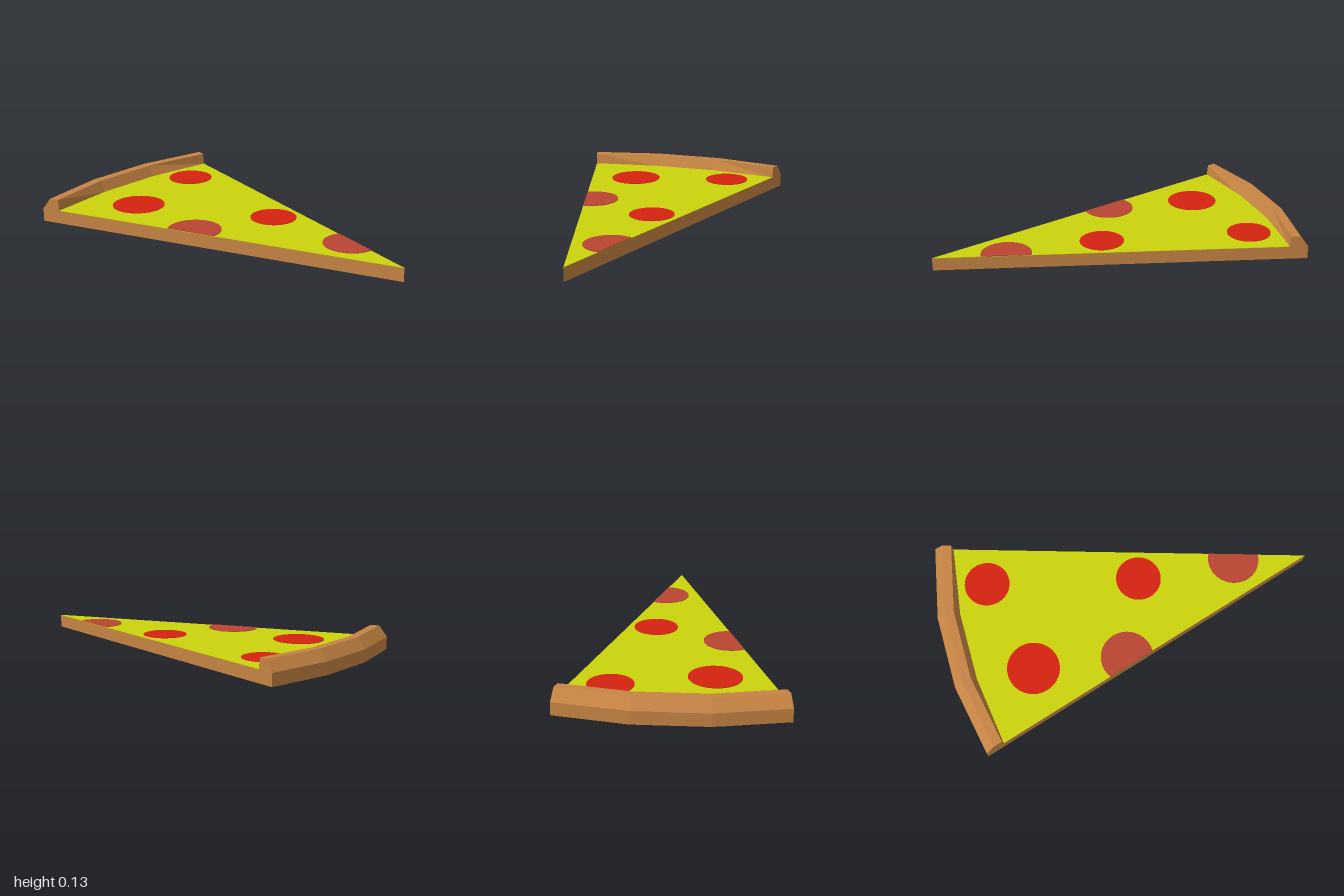
import * as THREE from 'three';

const TIP = { x: 1, z: 0.555 };
const ANGLE = Math.atan2(1.11, 1.665); // wedge angle of the slice
const STEPS = 3;
const BASE_TOP = 0.07;

const mat = (name, color) => {
  const m = new THREE.MeshStandardMaterial({ color });
  m.name = name;
  return m;
};

// Point [x, z] at a radius from the tip, on the i-th ray of the wedge
const ray = (r, i) => {
  const a = (ANGLE * i) / STEPS;
  return [TIP.x - r * Math.cos(a), TIP.z - r * Math.sin(a)];
};

// Horizontal slab from an [x, z] outline
function slab(outline, y, height) {
  const shape = new THREE.Shape(outline.map(([x, z]) => new THREE.Vector2(x, -z)));
  const geo = new THREE.ExtrudeGeometry(shape, { depth: height, bevelEnabled: false });
  return geo.rotateX(-Math.PI / 2).translate(0, y, 0);
}

// Keep the part of a convex outline where inside(point) >= 0
function clip(points, inside) {
  const out = [];
  points.forEach((p, i) => {
    const q = points[(i + 1) % points.length];
    const a = inside(p), b = inside(q);
    if (a >= 0) out.push(p);
    if (a * b < 0) {
      const t = a / (a - b);
      out.push([p[0] + (q[0] - p[0]) * t, p[1] + (q[1] - p[1]) * t]);
    }
  });
  return out;
}

// Round topping trimmed to the two straight sides of the slice
function toppingOutline(x, z, r) {
  let pts = [];
  for (let i = 0; i < 48; i++) {
    const a = (i / 48) * Math.PI * 2;
    pts.push([x + r * Math.cos(a), z + r * Math.sin(a)]);
  }
  pts = clip(pts, (p) => TIP.z - p[1]);
  return clip(pts, (p) => (TIP.x - p[0]) * Math.sin(ANGLE) - (TIP.z - p[1]) * Math.cos(ANGLE) >= 0
    ? (TIP.x - p[0]) * Math.sin(ANGLE) - (TIP.z - p[1]) * Math.cos(ANGLE)
    : (TIP.x - p[0]) * Math.sin(ANGLE) - (TIP.z - p[1]) * Math.cos(ANGLE));
}

const innerRadius = (i) => (i === 0 || i === STEPS ? 1.9 : 1.879);

// Raised rim: a four-point section swept along the back of the slice
function rimGeometry() {
  const section = (i) =>
    [[2, BASE_TOP], [1.955, 0.13], [1.907, 0.13], [innerRadius(i), BASE_TOP]].map(([r, y]) => {
      const [x, z] = ray(r, i);
      return [x, y, z];
    });
  const pos = [];
  const quad = (a, b, c, d) => pos.push(...a, ...b, ...c, ...a, ...c, ...d);
  for (let i = 0; i < STEPS; i++) {
    const s = section(i), n = section(i + 1);
    for (let k = 0; k < 3; k++) quad(s[k], s[k + 1], n[k + 1], n[k]);
  }
  const first = section(0), last = section(STEPS);
  quad(first[0], first[3], first[2], first[1]);
  quad(last[0], last[1], last[2], last[3]);
  const geo = new THREE.BufferGeometry();
  geo.setAttribute('position', new THREE.Float32BufferAttribute(pos, 3));
  geo.computeVertexNormals();
  return geo;
}

export function createModel() {
  const group = new THREE.Group();
  group.name = 'pizzaSlice';
  const crust = mat('crust', 0xc68443);
  const cheese = mat('cheese', 0xcad40c);
  const red = mat('pepperoni', 0xd6220f);
  const paleRed = mat('palePepperoni', 0xb94432);
  const add = (name, geo, material) => {
    const mesh = new THREE.Mesh(geo, material);
    mesh.name = name;
    group.add(mesh);
  };

  const tip = [TIP.x, TIP.z];
  const rays = [0, 1, 2, 3];

  // Dough and rim
  add('doughBase', slab([tip, ...rays.map((i) => ray(2, i))], 0, BASE_TOP), crust);
  add('crustRim', rimGeometry(), crust);

  // Cheese layer inside the rim
  add('cheeseLayer', slab([tip, ...rays.map((i) => ray(innerRadius(i), i))], BASE_TOP, 0.002), cheese);

  // Pepperoni: x, z, radius, colour
  [
    [-0.53, -0.23, 0.12, red],
    [-0.565, 0.3, 0.138, red],
    [0.17, 0.18, 0.12, red],
    [-0.12, 0.513, 0.138, paleRed],
    [0.662, 0.363, 0.136, paleRed],
  ].forEach(([x, z, r, m], i) =>
    add(`pepperoni${i + 1}`, slab(toppingOutline(x, z, r), BASE_TOP + 0.002, 0.003), m));

  return group;
}
